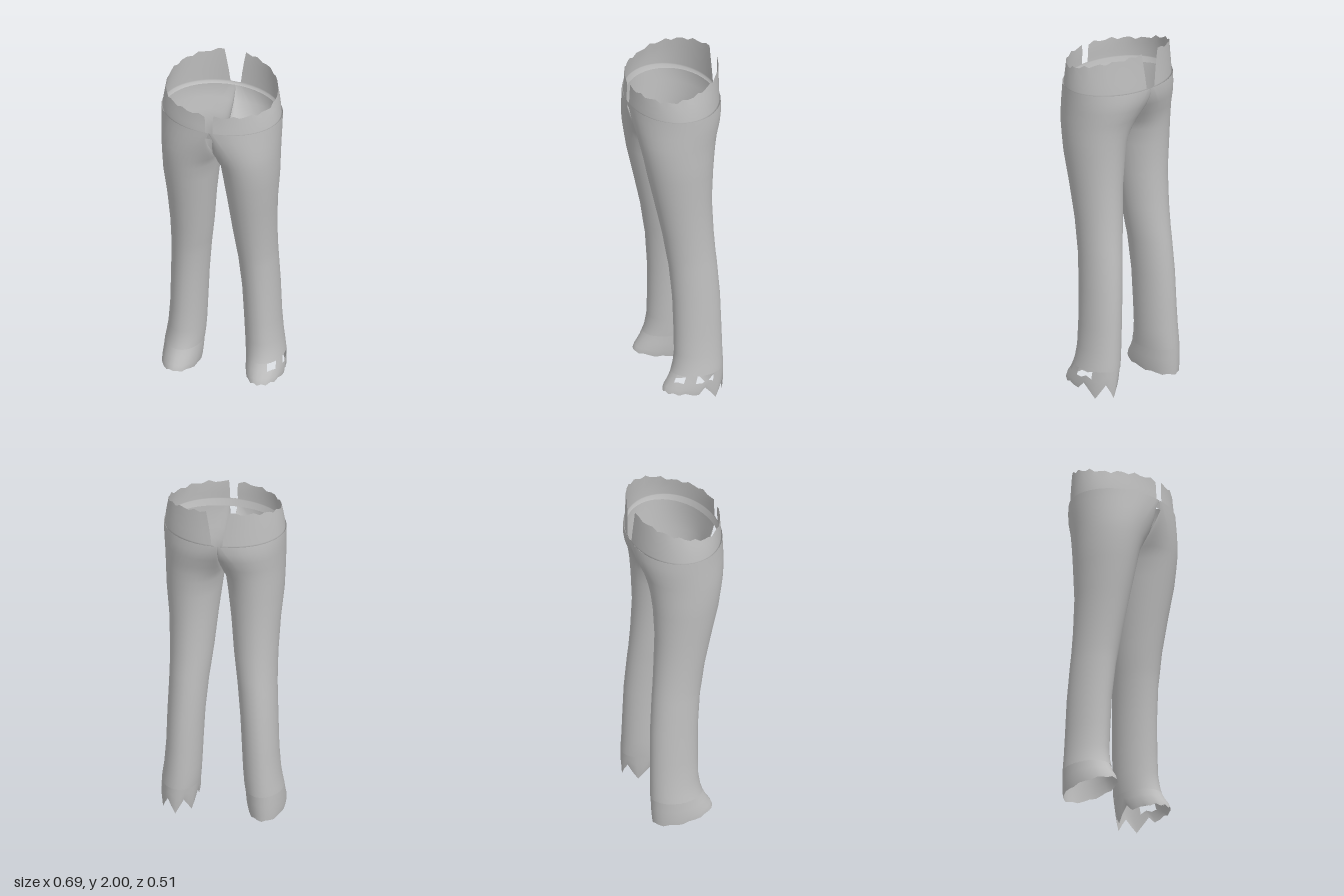
import * as THREE from 'three';
import { mergeVertices, mergeGeometries } from 'three/addons/utils/BufferGeometryUtils.js';

const cloth = new THREE.MeshStandardMaterial({ color: 0xc0c0c0, side: THREE.DoubleSide });
cloth.name = 'grey cloth';

// Surface through rows of points, listed top to bottom; skip(i, j) leaves a hole
function loft(rows, skip = () => false) {
  const n = rows[0].length, index = [];
  for (let i = 0; i < rows.length - 1; i++)
    for (let j = 0; j < n - 1; j++) {
      if (skip(i, j)) continue;
      const a = i * n + j, b = a + n;
      index.push(a, b, a + 1, b, b + 1, a + 1);
    }
  const g = new THREE.BufferGeometry();
  g.setAttribute('position', new THREE.Float32BufferAttribute(rows.flat(2), 3));
  g.setIndex(index);
  return g;
}

// Welds pieces and smooths the shading across them
function smoothMesh(name, pieces) {
  const g = mergeVertices(mergeGeometries(pieces), 1e-4);
  g.computeVertexNormals();
  const m = new THREE.Mesh(g, cloth);
  m.name = name;
  return m;
}

// Mirrors a row to the given side, keeping the winding
const toSide = (row, side) => {
  const r = row.map(([x, y, z]) => [x * side, y, z]);
  return side < 0 ? r.reverse() : r;
};

// Leg sections: y, seam x, inner x, outer x, front z, back z, crotch closing angle
const LEG = [
  [1.78, 0.02, 0, 0.338, 0.256, -0.256, 0],
  [1.73, 0.05, 0, 0.337, 0.252, -0.252, 10],
  [1.67, 0.09, 0, 0.335, 0.245, -0.235, 24],
  [1.60, 0.13, 0, 0.333, 0.234, -0.207, 45],
  [1.54, 0.15, 0, 0.331, 0.224, -0.193, 68],
  [1.48, 0.16, 0.004, 0.329, 0.213, -0.184, 90],
  [1.38, 0.17, 0.017, 0.325, 0.195, -0.174, 90],
  [1.20, 0.175, 0.038, 0.308, 0.155, -0.166, 90],
  [1.00, 0.18, 0.057, 0.299, 0.112, -0.175, 90],
  [0.87, 0.188, 0.073, 0.298, 0.092, -0.184, 90],
  [0.80, 0.192, 0.082, 0.299, 0.080, -0.191, 90],
  [0.60, 0.205, 0.100, 0.306, 0.064, -0.205, 90],
  [0.40, 0.215, 0.110, 0.312, 0.060, -0.210, 90],
  [0.27, 0.222, 0.116, 0.322, 0.060, -0.212, 90],
  [0.20, 0.226, 0.121, 0.332, 0.070, -0.214, 90],
  [0.16, 0.228, 0.125, 0.338, 0.082, -0.214, 90],
];
const FLY = { 1.73: 0.02, 1.67: 0.01 }; // slot at the front opening

function legRow([y, xs, xin, xout, zf, zb, A]) {
  const zc = (zf + zb) / 2, rz = (zf - zb) / 2, row = [];
  const inner = (t, front) => {
    const end = front ? (FLY[y] ?? xin) : xin;
    const c = Math.cos(t * A * Math.PI / 180);
    return [xs - (xs - end) * Math.sin(t * Math.PI / 2), y, zc + (front ? rz : -rz) * c];
  };
  for (let k = 8; k > 0; k--) row.push(inner(k / 8, true));
  for (let k = 0; k <= 20; k++) {
    const a = k / 20 * Math.PI;
    row.push([xs + (xout - xs) * Math.sin(a), y, zc + rz * Math.cos(a)]);
  }
  for (let k = 1; k <= 8; k++) row.push(inner(k / 8, false));
  return row;
}

// Waistband half: open notch at the front, wider split at the back, ragged rim
function bandHalf(side) {
  const n = 24;
  const levels = [ // share of height, rx, rz, front gap, back gap
    [-0.25, 0.325, 0.245, 0, 0], [0, 0.333, 0.254, 0, 0], [0.05, 0.332, 0.254, 0.022, 0.03],
    [0.35, 0.328, 0.252, 0.022, 0.038], [0.7, 0.32, 0.25, 0.022, 0.05], [1, 0.312, 0.25, 0.026, 0.062],
  ];
  const rows = levels.map(([t, rx, rz, gf, gb]) => {
    const a0 = Math.asin(gf / rx), a1 = Math.PI - Math.asin(gb / rx), row = [];
    for (let j = 0; j <= n; j++) {
      const a = a0 + (a1 - a0) * j / n, c = Math.cos(a);
      const rag = 0.009 * Math.sin(j * 2.3 + side);
      const rim = c > 0.4 ? 1.89 : 1.89 + (0.4 - c) * 0.072 + (c < -0.95 ? 0.008 : 0);
      const h = rim - 1.775 + (t === 1 && j < n ? rag : 0);
      // the lower hem sits lower at the front than at the back
      const y = t < 0 ? 1.75 - 0.015 * c : 1.775 + t * h;
      row.push([rx * Math.sin(a), y, rz * c]);
    }
    return toSide(row, side);
  });
  return loft(rows);
}

// Cuff: flared over the shoe, with a lower edge given by hem(angle, column)
function cuff(side, hem, skip) {
  const n = 28;
  const levels = [ // share of height, centre x, rx, front z, back z
    [0, 0.232, 0.106, 0.08, -0.213], [0.4, 0.235, 0.106, 0.1, -0.212],
    [0.75, 0.238, 0.106, 0.125, -0.21], [1, 0.24, 0.102, 0.135, -0.207],
  ];
  const rows = levels.map(([t, cx, rx, zf, zb]) => {
    const row = [];
    for (let j = 0; j <= n; j++) {
      const a = j / n * Math.PI * 2, c = Math.cos(a);
      const low = hem(c, j % n);
      row.push([cx + rx * Math.sin(a), 0.162 + (low - 0.162) * t, (zf + zb) / 2 + (zf - zb) / 2 * c]);
    }
    return toSide(row, side);
  });
  return loft(rows, skip);
}

export function createModel() {
  const model = new THREE.Group();
  model.name = 'trousers';

  // Both legs and the seat in one welded surface
  const leg = side => loft(LEG.map(s => toSide(legRow(s), side)));
  model.add(smoothMesh('legsAndSeat', [leg(1), leg(-1)]));

  model.add(smoothMesh('waistband', [bandHalf(1), bandHalf(-1)]));

  // Right cuff: smooth hem, lower at the heel
  model.add(smoothMesh('rightCuff', [
    cuff(-1, (c, j) => 0.028 + 0.022 * c + 0.005 * Math.sin(j * 2.1)),
  ]));

  // Left cuff: torn hem with teeth at the heel and holes below the leg
  const torn = (c, j) => c > 0.1 ? 0.05 + 0.012 * (j % 2) : (j % 4 === 2 ? 0.002 : j % 2 ? 0.045 : 0.085);
  const holes = (i, j) => i === 0 && (j === 2 || j === 3 || j === 6 || j === 7 || j === 8);
  model.add(smoothMesh('leftCuff', [cuff(1, torn, holes)]));

  return model;
}
